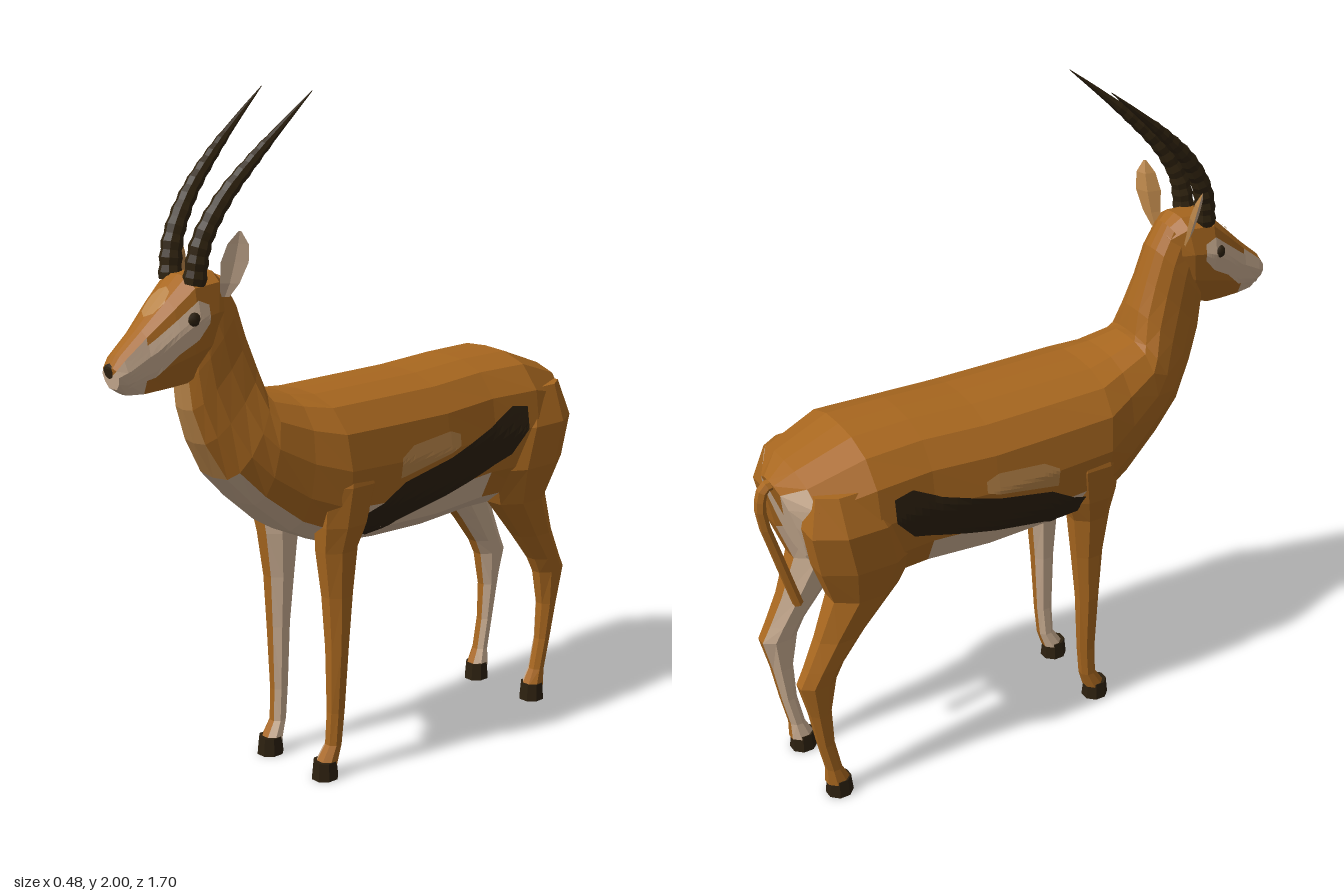
import * as THREE from 'three';

const V = (x, y, z) => new THREE.Vector3(x, y, z);
const mat = (name, color) => {
  const m = new THREE.MeshStandardMaterial({ color });
  m.name = name;
  return m;
};

// Faceted mesh from [a, b, c, material] triangles, one group per material
function facetMesh(name, tris) {
  const mats = [...new Set(tris.map(t => t[3]))];
  const geo = new THREE.BufferGeometry();
  const pos = [];
  mats.forEach((m, k) => {
    const start = pos.length / 3;
    for (const t of tris) if (t[3] === m) for (let i = 0; i < 3; i++) pos.push(t[i].x, t[i].y, t[i].z);
    geo.addGroup(start, pos.length / 3 - start, k);
  });
  geo.setAttribute('position', new THREE.Float32BufferAttribute(pos, 3));
  geo.computeVertexNormals();
  const mesh = new THREE.Mesh(geo, mats.length > 1 ? mats : mats[0]);
  mesh.name = name;
  return mesh;
}

// Closed loft through rings of points; pick(i, j, centre) chooses each face's material
function loft(name, rings, pick) {
  const tris = [], n = rings[0].length;
  const mid = pts => pts.reduce((s, p) => s.add(p), V(0, 0, 0)).divideScalar(pts.length);
  for (let i = 0; i + 1 < rings.length; i++) for (let j = 0; j < n; j++) {
    const k = (j + 1) % n;
    const [a, b, c, d] = [rings[i][j], rings[i][k], rings[i + 1][k], rings[i + 1][j]];
    const m = pick(i, j, mid([a, b, c, d]));
    tris.push([a, b, c, m], [a, c, d, m]);
  }
  [[0, 1], [rings.length - 1, -1]].forEach(([i, s]) => {
    const r = rings[i], c = mid(r);
    for (let j = 0; j < n; j++) {
      const p = r[j], q = r[(j + 1) % n];
      const m = pick(i === 0 ? 0 : i - 1, j, mid([p, q, c]));
      tris.push(s > 0 ? [c, q, p, m] : [c, p, q, m]);
    }
  });
  // turn the surface outwards
  let vol = 0;
  for (const [a, b, c] of tris) vol += a.dot(b.clone().cross(c));
  if (vol < 0) for (const t of tris) [t[1], t[2]] = [t[2], t[1]];
  return facetMesh(name, tris);
}

// Mirrored rings from a half profile [x, t] and sections [topZ, topY, bottomZ, bottomY, halfWidth]
function bodyRings(half, sections) {
  const full = [...half, ...half.slice(1, -1).reverse().map(([x, t]) => [-x, t])];
  return sections.map(([tz, ty, bz, by, w]) =>
    full.map(([x, t]) => V(x * w, by + (ty - by) * t, bz + (tz - bz) * t)));
}

// Thin marking draped on a surface; columns are [u, low y, high y], cast along dir
function marking(name, target, material, cols, dir) {
  const ray = new THREE.Raycaster(), grid = [], nv = 6, nu = 4;
  const cast = (u, y) => {
    const o = dir.x ? V(dir.x * 2, y, u) : V(u, y, dir.z * 2);
    ray.set(o, dir.clone().negate());
    const hit = ray.intersectObject(target, false)[0];
    return hit ? hit.point.addScaledVector(dir, 0.006) : null;
  };
  for (let i = 0; i + 1 < cols.length; i++) for (let s = i ? 1 : 0; s <= nu; s++) {
    const [u, lo, hi] = cols[i].map((c, k) => c + (cols[i + 1][k] - c) * s / nu);
    grid.push(Array.from({ length: nv + 1 }, (_, v) => cast(u, lo + (hi - lo) * v / nv)));
  }
  const tris = [];
  const add = (a, b, c) => {
    if (!a || !b || !c) return;
    const nrm = b.clone().sub(a).cross(c.clone().sub(a));
    tris.push(nrm.dot(dir) > 0 ? [a, b, c, material] : [a, c, b, material]);
  };
  for (let i = 0; i + 1 < grid.length; i++) for (let j = 0; j < nv; j++) {
    add(grid[i][j], grid[i + 1][j], grid[i + 1][j + 1]);
    add(grid[i][j], grid[i + 1][j + 1], grid[i][j + 1]);
  }
  return facetMesh(name, tris);
}

const disc = (u, y, r) => [-1, -0.7, 0, 0.7, 1].map(k => {
  const h = r * Math.sqrt(1 - k * k) + 0.001;
  return [u + r * k, y - h, y + h];
});

export function createModel() {
  const g = new THREE.Group();
  g.name = 'antelope';
  const coat = mat('brown coat', 0xa8671f);
  const pale = mat('pale underside', 0xcdb094);
  const tan = mat('light tan', 0xb98549);
  const dark = mat('dark stripe and hooves', 0x2c200f);
  const horn = mat('horn', 0x30230f);

  // Trunk and neck in one loft, rump to throat
  const trunkHalf = [[0, 0], [0.45, 0.02], [0.75, 0.12], [0.93, 0.3], [1, 0.55], [0.93, 0.78], [0.68, 0.93], [0.33, 0.99], [0, 1]];
  const trunk = loft('trunkAndNeck', bodyRings(trunkHalf, [
    [-0.80, 1.05, -0.72, 0.79, 0.09], [-0.75, 1.10, -0.68, 0.74, 0.195], [-0.58, 1.165, -0.57, 0.69, 0.235],
    [-0.40, 1.165, -0.40, 0.69, 0.22], [-0.20, 1.155, -0.20, 0.68, 0.228], [0.0, 1.155, 0.0, 0.685, 0.225],
    [0.20, 1.155, 0.17, 0.70, 0.222], [0.28, 1.165, 0.30, 0.76, 0.18], [0.37, 1.185, 0.42, 0.86, 0.15],
    [0.375, 1.20, 0.51, 0.95, 0.13], [0.39, 1.27, 0.575, 1.06, 0.10], [0.42, 1.36, 0.61, 1.16, 0.083],
    [0.45, 1.45, 0.62, 1.25, 0.078], [0.49, 1.52, 0.62, 1.30, 0.07],
  ]), (i, j, c) => {
    const k = Math.min(j, 15 - j);
    if (i === 0) return k < 6 ? pale : coat;
    if (i < 3) return k < 2 ? pale : coat;
    if (i < 6) return k < 3 ? pale : coat;
    if (i < 9) return k < 2 ? pale : coat;
    return k < 1 ? tan : coat;
  });
  g.add(trunk);

  // Head
  const headHalf = [[0, 0], [0.5, 0.02], [0.85, 0.3], [1, 0.62], [0.82, 0.9], [0.4, 0.99], [0, 1]];
  const head = loft('head', bodyRings(headHalf, [
    [0.48, 1.50, 0.53, 1.31, 0.06], [0.53, 1.54, 0.58, 1.26, 0.088], [0.62, 1.535, 0.63, 1.24, 0.094],
    [0.68, 1.48, 0.69, 1.235, 0.08], [0.76, 1.405, 0.76, 1.23, 0.055], [0.83, 1.345, 0.81, 1.235, 0.046],
    [0.85, 1.315, 0.84, 1.255, 0.036],
  ]), (i, j) => {
    const k = Math.min(j, 11 - j);
    return i >= 4 ? (k < 4 ? pale : coat) : (i === 3 && k < 1 ? pale : coat);
  });
  g.add(head);
  const front = V(0, 0, 1);
  g.add(marking('nose', head, dark, disc(0, 1.305, 0.02), front));
  g.add(marking('foreheadSpot', head, tan, disc(0, 1.47, 0.035), front));

  for (const s of [1, -1]) {
    const side = s > 0 ? 'left' : 'right', out = V(s, 0, 0);
    const add = (mesh, part) => { mesh.name = side + part; g.add(mesh); };

    // Flank and face markings
    add(marking('', trunk, dark, [[0.11, 0.74, 0.81], [0.06, 0.72, 0.83], [-0.02, 0.755, 0.88], [-0.2, 0.80, 0.92],
      [-0.38, 0.85, 0.98], [-0.47, 0.88, 1.03], [-0.53, 0.95, 1.02]], out), 'FlankStripe');
    add(marking('', trunk, tan, [[0.0, 0.895, 0.955], [-0.05, 0.905, 0.985], [-0.2, 0.935, 1.0], [-0.24, 0.95, 0.985]], out), 'FlankPatch');
    add(marking('', head, pale, [[0.82, 1.26, 1.33], [0.74, 1.28, 1.385], [0.68, 1.335, 1.43], [0.62, 1.37, 1.475], [0.585, 1.41, 1.46]], out), 'CheekPatch');
    const eye = new THREE.Mesh(new THREE.SphereGeometry(0.021, 8, 6), dark);
    eye.scale.x = 0.6;
    eye.position.set(s * 0.089, 1.425, 0.635);
    add(eye, 'Eye');

    // Legs: rings of [y, back z, front z, inner x, outer x]
    const leg = (rows, part, paleTop) => {
      const rings = rows.map(([y, z0, z1, x0, x1]) => Array.from({ length: 8 }, (_, k) => {
        const a = (k + 0.5) * Math.PI / 4;
        return V(s * ((x0 + x1) / 2 + (x1 - x0) / 2 * Math.cos(a) * 1.05), y, (z0 + z1) / 2 + (z1 - z0) / 2 * Math.sin(a) * 1.05);
      }));
      add(loft('', rings, (i, j) => (j >= 2 && j <= 4 && rows[i][0] < paleTop ? pale : coat)), part);
    };
    leg([[1.06, 0.08, 0.20, 0.08, 0.19], [0.90, 0.04, 0.245, 0.08, 0.222], [0.78, 0.07, 0.24, 0.075, 0.205],
      [0.70, 0.10, 0.23, 0.075, 0.183], [0.56, 0.115, 0.21, 0.085, 0.172], [0.40, 0.13, 0.20, 0.095, 0.166],
      [0.20, 0.14, 0.195, 0.102, 0.152], [0.10, 0.15, 0.20, 0.10, 0.15], [0.045, 0.168, 0.235, 0.09, 0.156]], 'FrontLeg', 0.8);
    leg([[1.06, -0.74, -0.55, 0.08, 0.20], [0.95, -0.77, -0.47, 0.07, 0.243], [0.82, -0.745, -0.44, 0.06, 0.235],
      [0.70, -0.70, -0.49, 0.06, 0.20], [0.57, -0.745, -0.60, 0.075, 0.178], [0.48, -0.785, -0.67, 0.085, 0.172],
      [0.43, -0.81, -0.695, 0.09, 0.168], [0.32, -0.782, -0.715, 0.097, 0.16], [0.20, -0.76, -0.71, 0.102, 0.152],
      [0.10, -0.738, -0.69, 0.10, 0.15], [0.045, -0.738, -0.662, 0.09, 0.156]], 'HindLeg', 0.9);

    // Hooves
    for (const [z, part] of [[0.207, 'FrontHoof'], [-0.697, 'HindHoof']]) {
      const hoof = loft('', [[0, 0.042, 0.04], [0.055, 0.036, 0.036]].map(([y, rz, rx]) =>
        Array.from({ length: 8 }, (_, k) => {
          const a = (k + 0.5) * Math.PI / 4;
          return V(s * 0.123 + Math.cos(a) * rx, y, z + Math.sin(a) * rz);
        })), () => dark);
      add(hoof, part);
    }

    // Ridged horn sweeping up and back
    const curve = new THREE.CatmullRomCurve3([V(s * 0.052, 1.51, 0.605), V(s * 0.06, 1.62, 0.585), V(s * 0.073, 1.73, 0.52),
      V(s * 0.087, 1.83, 0.425), V(s * 0.097, 1.915, 0.33), V(s * 0.105, 2.0, 0.23)]);
    const N = 28;
    const hornRings = Array.from({ length: N + 1 }, (_, i) => {
      const t = i / N, p = curve.getPoint(t), d = curve.getTangent(t);
      const u = V(1, 0, 0).cross(d).normalize(), w = d.clone().cross(u);
      const r = (0.03 * (1 - Math.pow(t, 1.6)) + 0.001) * (i % 2 && t < 0.75 ? 1.08 : 0.95);
      return Array.from({ length: 8 }, (_, k) => p.clone()
        .addScaledVector(u, r * Math.cos(k * Math.PI / 4)).addScaledVector(w, r * Math.sin(k * Math.PI / 4)));
    });
    add(loft('', hornRings, () => horn), 'Horn');

    // Cupped ear, pale inside
    const open = V(s * 0.75, 0, 0.66), across = V(s * 0.66, 0, -0.75);
    const earRings = [[0.078, 1.47, 0.012], [0.10, 1.51, 0.026], [0.122, 1.57, 0.037], [0.137, 1.62, 0.028], [0.145, 1.655, 0.004]]
      .map(([x, y, w]) => {
        const c = V(s * x, y, 0.522);
        return [c.clone().addScaledVector(across, w), c.clone().addScaledVector(open, -w * 0.15),
          c.clone().addScaledVector(across, -w), c.clone().addScaledVector(open, -w * 0.55)];
      });
    add(loft('', earRings, (i, j) => (j < 2 ? pale : tan)), 'Ear');
  }

  // Tail
  const tailPath = new THREE.CatmullRomCurve3([V(0, 1.04, -0.77), V(0, 1.03, -0.815), V(0, 0.96, -0.83), V(0, 0.80, -0.79), V(0, 0.62, -0.737)]);
  const tailRings = Array.from({ length: 11 }, (_, i) => {
    const p = tailPath.getPoint(i / 10), d = tailPath.getTangent(i / 10);
    const u = V(1, 0, 0), w = d.clone().cross(u);
    return Array.from({ length: 6 }, (_, k) => p.clone()
      .addScaledVector(u, 0.019 * Math.cos(k * Math.PI / 3)).addScaledVector(w, 0.016 * Math.sin(k * Math.PI / 3)));
  });
  g.add(loft('tail', tailRings, () => coat));
  return g;
}
